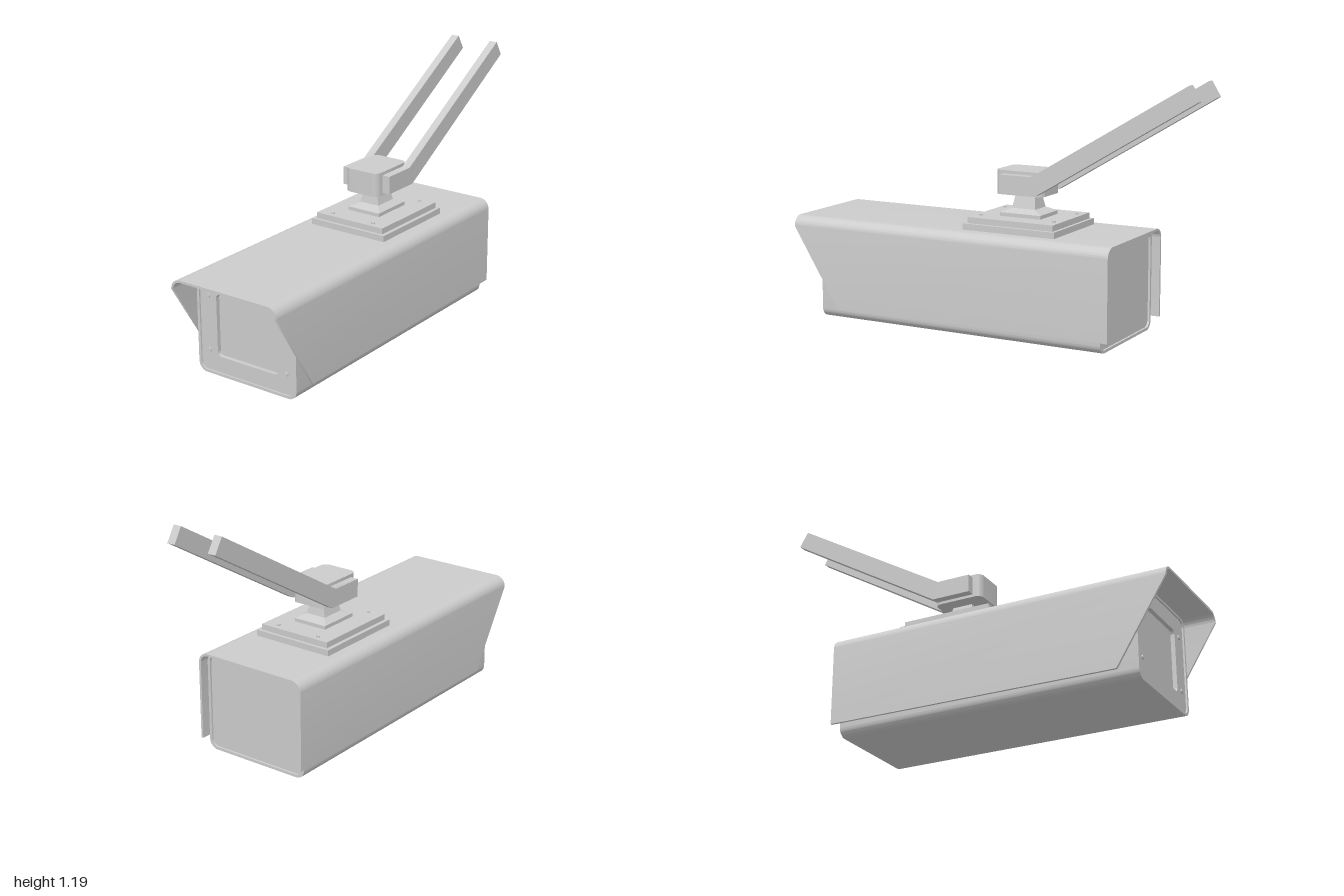
import * as THREE from 'three';
import { toCreasedNormals } from 'three/addons/utils/BufferGeometryUtils.js';

const material = new THREE.MeshStandardMaterial({ color: 0xcccccc, side: THREE.DoubleSide });

// Rounded rectangle outline, usable as a shape or a hole
function roundRect(x0, y0, x1, y1, r, Type = THREE.Shape) {
  const s = new Type();
  s.moveTo(x0 + r, y0);
  s.lineTo(x1 - r, y0);
  s.absarc(x1 - r, y0 + r, r, -Math.PI / 2, 0);
  s.lineTo(x1, y1 - r);
  s.absarc(x1 - r, y1 - r, r, 0, Math.PI / 2);
  s.lineTo(x0 + r, y1);
  s.absarc(x0 + r, y1 - r, r, Math.PI / 2, Math.PI);
  s.lineTo(x0, y0 + r);
  s.absarc(x0 + r, y0 + r, r, Math.PI, Math.PI * 1.5);
  return s;
}

// Extrudes a shape along z between z0 and z1
function extrude(shape, z0, z1) {
  return new THREE.ExtrudeGeometry(shape, { depth: z1 - z0, bevelEnabled: false, curveSegments: 8 })
    .translate(0, 0, z0);
}

export function createModel() {
  const model = new THREE.Group();

  function add(name, geometry, x = 0, y = 0, z = 0) {
    const mesh = new THREE.Mesh(toCreasedNormals(geometry, 0.6), material);
    mesh.name = name;
    mesh.position.set(x, y, z);
    model.add(mesh);
    return mesh;
  }

  // Housing: rounded sleeve closed by slightly recessed panels
  const sleeve = roundRect(-0.274, 0, 0.274, 0.471, 0.045);
  sleeve.holes.push(roundRect(-0.261, 0.013, 0.261, 0.461, 0.034, THREE.Path));
  add('housing', extrude(sleeve, -0.62, 0.855));

  const front = roundRect(-0.261, 0.013, 0.261, 0.461, 0.034);
  front.holes.push(roundRect(-0.17, 0.09, 0.17, 0.385, 0.02, THREE.Path));
  add('frontPanel', extrude(front, 0.82, 0.847));
  add('window', new THREE.BoxGeometry(0.36, 0.31, 0.01), 0, 0.238, 0.822);
  add('backPanel', extrude(roundRect(-0.261, 0.013, 0.261, 0.461, 0.034), -0.61, -0.59));

  for (const x of [-0.215, 0.215]) {
    for (const y of [0.11, 0.368]) {
      add('frontScrew', new THREE.CylinderGeometry(0.01, 0.01, 0.012, 16).rotateX(Math.PI / 2), x, y, 0.848);
    }
  }

  // Sun hood: thin inverted U with a slanted front cut
  const bendY = 0.433;
  const u = new THREE.Shape();
  u.moveTo(0.29, 0.05);
  u.lineTo(0.29, bendY);
  u.absarc(0.24, bendY, 0.05, 0, Math.PI / 2);
  u.lineTo(-0.24, 0.483);
  u.absarc(-0.24, bendY, 0.05, Math.PI / 2, Math.PI);
  u.lineTo(-0.29, 0.05);
  u.lineTo(-0.279, 0.05);
  u.lineTo(-0.279, bendY);
  u.absarc(-0.24, bendY, 0.039, Math.PI, Math.PI / 2, true);
  u.lineTo(0.24, 0.472);
  u.absarc(0.24, bendY, 0.039, Math.PI / 2, 0, true);
  u.lineTo(0.279, 0.05);
  const hood = extrude(u, 0, 1);
  const p = hood.attributes.position;
  for (let i = 0; i < p.count; i++) {
    const y = p.getY(i);
    if (p.getZ(i) > 0.5) {
      p.setZ(i, 1 - Math.max(0, bendY - y) * 0.63);
    } else {
      p.setZ(i, -0.66);
      if (y < 0.06) p.setY(i, 0.06);
    }
  }
  add('sunHood', hood);

  // Stepped mounting plate with screws
  const mountZ = -0.12;
  add('lowerPlate', new THREE.BoxGeometry(0.41, 0.032, 0.47), 0, 0.496, mountZ);
  add('upperPlate', new THREE.BoxGeometry(0.374, 0.03, 0.44), 0, 0.525, mountZ);
  for (const x of [-0.115, 0.115]) {
    for (const z of [-0.19, 0.19]) {
      add('plateScrew', new THREE.CylinderGeometry(0.009, 0.009, 0.012, 12), x, 0.541, mountZ + z);
    }
  }

  // Neck: stacked rectangular sections [y, half width, half depth]
  const rows = [[0.538, 0.087, 0.105], [0.557, 0.087, 0.105], [0.576, 0.052, 0.06], [0.636, 0.036, 0.05], [0.65, 0.07, 0.085]];
  const corners = [[1, 1], [1, -1], [-1, -1], [-1, 1]];
  const verts = [];
  const index = [];
  rows.forEach(([y, hx, hz], r) => {
    corners.forEach(([cx, cz], c) => {
      verts.push(cx * hx, y, cz * hz);
      if (r < rows.length - 1) {
        const a = r * 4 + c, b = r * 4 + (c + 1) % 4;
        index.push(a, b, b + 4, a, b + 4, a + 4);
      }
    });
  });
  const neck = new THREE.BufferGeometry();
  neck.setAttribute('position', new THREE.Float32BufferAttribute(verts, 3));
  neck.setIndex(index);
  const neckFlat = neck.toNonIndexed();
  neckFlat.computeVertexNormals();
  const neckMesh = new THREE.Mesh(neckFlat, material);
  neckMesh.name = 'neck';
  neckMesh.position.z = mountZ;
  model.add(neckMesh);

  // Pivot block with rounded upright corners
  const block = extrude(roundRect(-0.092, -0.122, 0.092, 0.122, 0.032), 0, 0.113).rotateX(-Math.PI / 2);
  add('pivotBlock', block, 0, 0.642, -0.115);

  // Pair of bent bracket arms, outlined in (z, y)
  const arm = new THREE.Shape([
    [-0.035, 0.655], [-0.225, 0.655], [-1, 1.12], [-0.957, 1.19], [-0.2, 0.74], [-0.035, 0.74],
  ].map(([z, y]) => new THREE.Vector2(z, y)));
  for (const x of [-0.111, 0.111]) {
    add(x > 0 ? 'leftArm' : 'rightArm', extrude(arm, -0.02, 0.02).rotateY(-Math.PI / 2), x);
  }

  return model;
}
